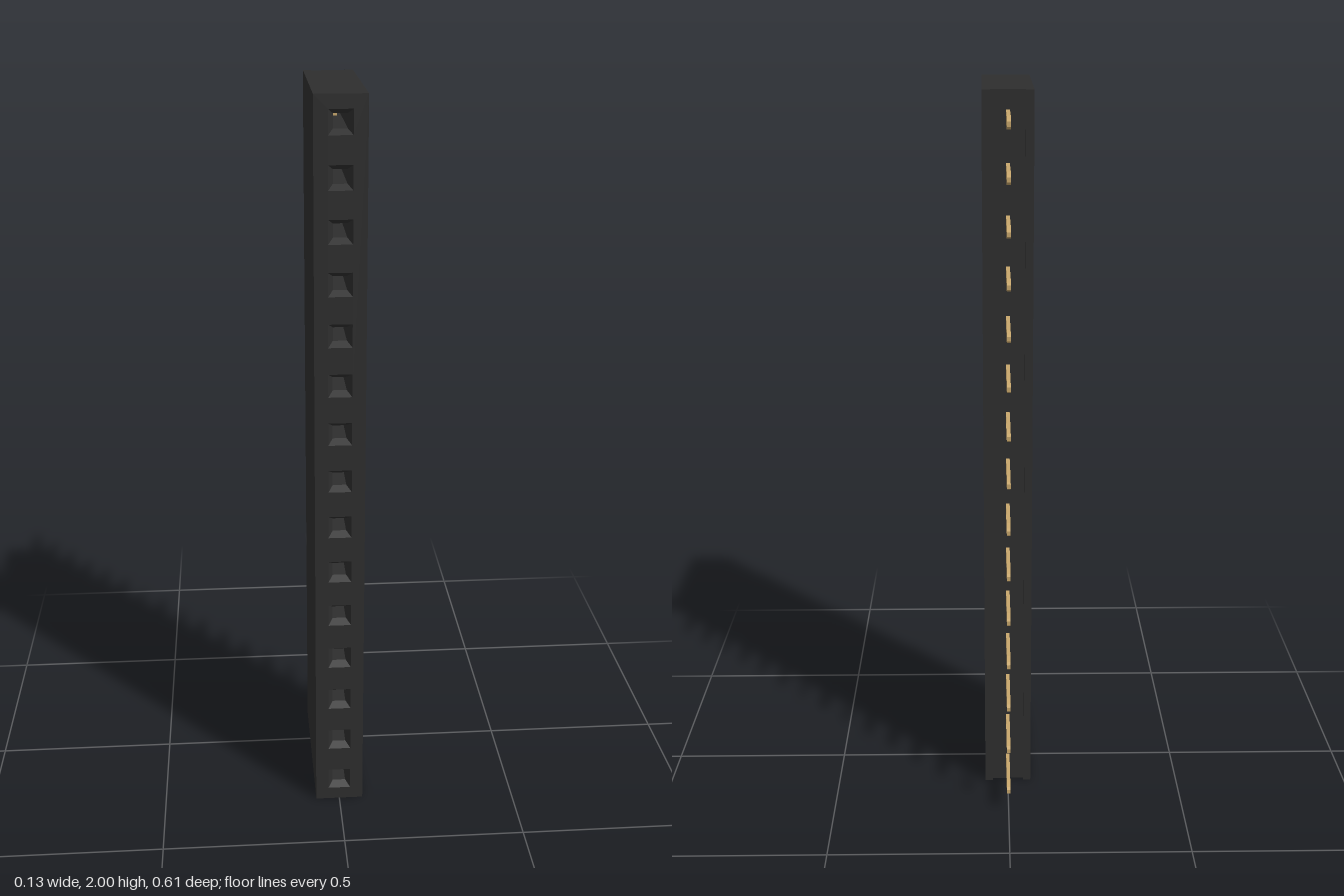
import * as THREE from 'three';

const COUNT = 15, PITCH = 2 / COUNT, HALF = 0.0667;
const FRONT = 0.305, FUNNEL = 0.285, FLOOR = 0.05, RECESS = -0.132, BACK = -0.143;
const MOUTH = 0.031, BORE = 0.018;           // half widths of the socket opening and bore
const HOLLOW = [1, 6, 8];                    // pins that are only an open rim

const plastic = new THREE.MeshStandardMaterial({ color: 0x2e2e2e, side: THREE.DoubleSide });
plastic.name = 'black plastic';
const brass = new THREE.MeshStandardMaterial({ color: 0xc8a76c, side: THREE.DoubleSide });
brass.name = 'brass';

const pinY = (i) => (i + 0.5) * PITCH;

function polygon(points) {
  return new THREE.Shape(points.map(([x, y]) => new THREE.Vector2(x, y)));
}

function add(parent, name, geometry, material) {
  const mesh = new THREE.Mesh(geometry, material);
  mesh.name = name;
  parent.add(mesh);
  return mesh;
}

// Block from z0 to z1 pierced by one square hole per socket
function piercedBlock(half, z0, z1) {
  const shape = polygon([[-HALF, 0], [HALF, 0], [HALF, 2], [-HALF, 2]]);
  for (let i = 0; i < COUNT; i++) {
    const y = pinY(i);
    shape.holes.push(polygon([[-half, y - half], [-half, y + half], [half, y + half], [half, y - half]]));
  }
  const g = new THREE.ExtrudeGeometry(shape, { depth: z1 - z0, bevelEnabled: false });
  return g.translate(0, 0, z0);
}

// Flat pin with a tapered tip; the hollow version keeps only the edge strip
function pinGeometry(hollow) {
  const h = 0.0165, t = 0.01;
  const shape = polygon([
    [-RECESS, -h], [0.272, -h], [0.297, -0.011], [0.305, -0.006],
    [0.305, 0.006], [0.297, 0.011], [0.272, h], [-RECESS, h],
  ]);
  const g = new THREE.ExtrudeGeometry(shape, { depth: t, bevelEnabled: false });
  g.translate(0, 0, -t / 2).rotateY(Math.PI / 2);
  if (!hollow) return g;
  const { start, count } = g.groups[1];
  const rim = new THREE.BufferGeometry();
  for (const key of ['position', 'normal']) {
    const data = g.attributes[key].array.slice(start * 3, (start + count) * 3);
    rim.setAttribute(key, new THREE.BufferAttribute(data, 3));
  }
  return rim;
}

export function createModel() {
  const model = new THREE.Group();
  model.name = 'socketStrip';

  // Housing: grooved rear, bored middle, front layer with wider mouths
  const housing = new THREE.Group();
  housing.name = 'housing';
  model.add(housing);
  const lip = 0.045;
  const rear = new THREE.ExtrudeGeometry(polygon([
    [-HALF, -FLOOR], [HALF, -FLOOR], [HALF, -BACK], [lip, -BACK],
    [lip, -RECESS], [-lip, -RECESS], [-lip, -BACK], [-HALF, -BACK],
  ]), { depth: 2, bevelEnabled: false });
  add(housing, 'groovedRear', rear.rotateX(-Math.PI / 2), plastic);
  add(housing, 'boredMiddle', piercedBlock(BORE, FLOOR, FUNNEL), plastic);
  add(housing, 'frontLayer', piercedBlock(MOUTH, FUNNEL, FRONT), plastic);

  // Sloped lead-in inside every mouth
  const indexed = new THREE.CylinderGeometry(MOUTH * Math.SQRT2, BORE * Math.SQRT2, FRONT - FUNNEL, 4, 1, true);
  const funnel = indexed.toNonIndexed();
  funnel.computeVertexNormals();
  funnel.rotateY(Math.PI / 4).rotateX(Math.PI / 2);

  const solidPin = pinGeometry(false), rimPin = pinGeometry(true);
  const contact = new THREE.BoxGeometry(0.01, 0.03, 0.06);
  for (let i = 0; i < COUNT; i++) {
    const y = pinY(i), hollow = HOLLOW.includes(i);
    add(model, 'socketFunnel', funnel, plastic).position.set(0, y, (FRONT + FUNNEL) / 2);
    add(model, 'socketContact', contact, brass).position.set(0, y, FLOOR + 0.03);
    add(model, hollow ? 'pinRim' : 'pin', hollow ? rimPin : solidPin, brass).position.y = y;
  }
  return model;
}
